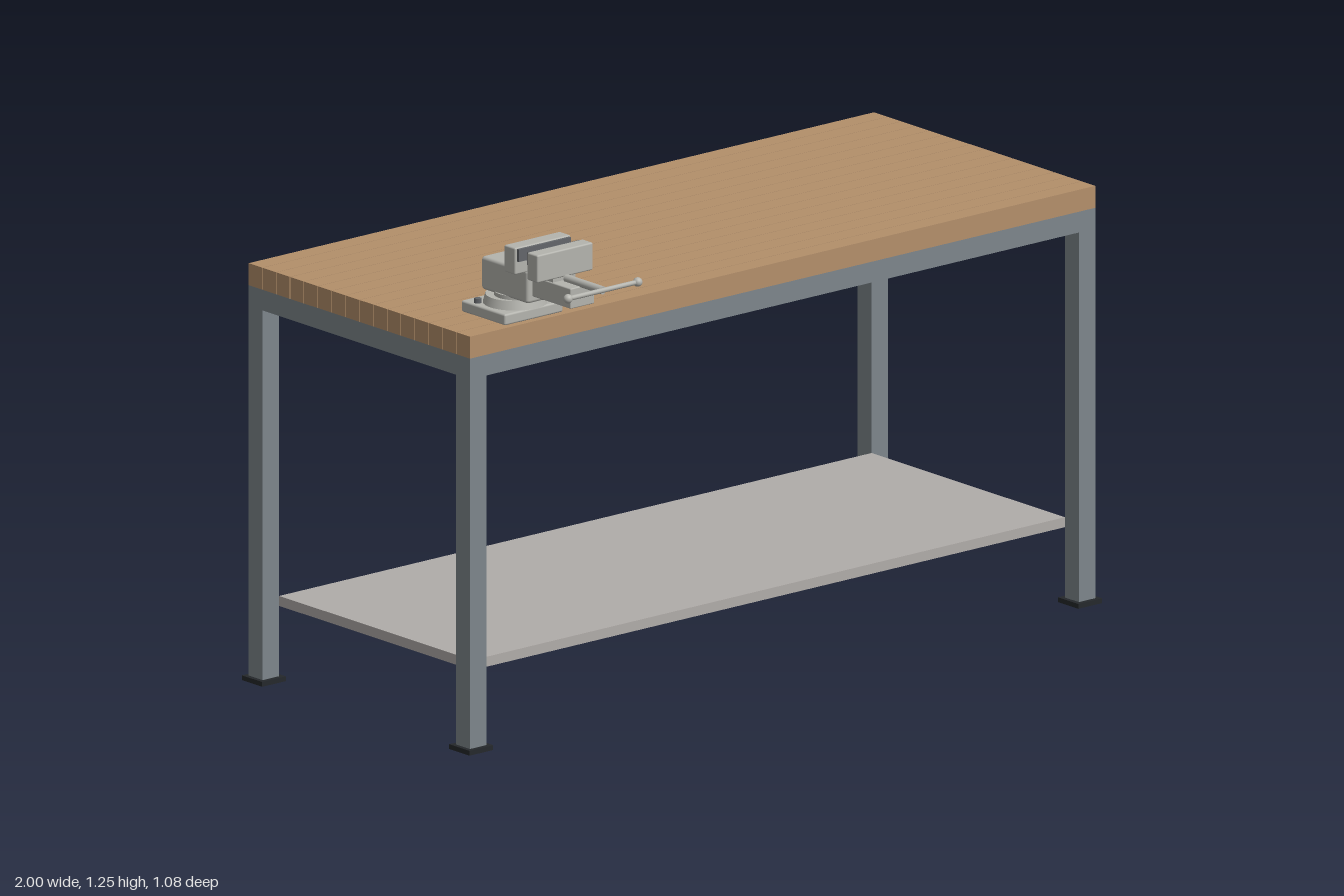
import * as THREE from 'three';
import { RoundedBoxGeometry } from 'three/addons/geometries/RoundedBoxGeometry.js';

const mat = (name, color) => {
  const m = new THREE.MeshStandardMaterial({ color });
  m.name = name;
  return m;
};

export function createModel() {
  const wood = mat('wood', 0xb38f6a);
  const steel = mat('blue grey steel', 0x7d868b);
  const board = mat('shelf grey', 0xb0aca9);
  const iron = mat('vise grey', 0xb4b4ae);
  const darkIron = mat('dark jaw steel', 0x63666a);
  const rubber = mat('black rubber', 0x25282b);

  const model = new THREE.Group();
  model.name = 'workbench';

  const add = (parent, name, geometry, material, x, y, z) => {
    const mesh = new THREE.Mesh(geometry, material);
    mesh.name = name;
    mesh.position.set(x, y, z);
    parent.add(mesh);
    return mesh;
  };
  // Box given by its limits on each axis, with optional rounded edges
  const box = (parent, name, material, [x0, x1], [y0, y1], [z0, z1], r = 0) => {
    const s = [x1 - x0, y1 - y0, z1 - z0];
    const g = r ? new RoundedBoxGeometry(...s, 2, r) : new THREE.BoxGeometry(...s);
    return add(parent, name, g, material, (x0 + x1) / 2, (y0 + y1) / 2, (z0 + z1) / 2);
  };

  const X = 0.987, BACK = -0.53, FRONT = 0.29, T = 0.052;
  const railY = [0.938, 0.99];

  // Table top: sixteen long planks with narrow gaps
  const top = new THREE.Group();
  top.name = 'tableTop';
  model.add(top);
  const count = 16, gap = 0.002, pitch = (FRONT - BACK + gap) / count;
  for (let i = 0; i < count; i++) {
    const z = BACK + i * pitch;
    box(top, 'plank', wood, [-X, X], [0.99, 1.045], [z, z + pitch - gap]);
  }

  // Steel frame
  const frame = new THREE.Group();
  frame.name = 'frame';
  model.add(frame);
  for (const z of [BACK, FRONT - T]) box(frame, 'longRail', steel, [-X + T, X - T], railY, [z, z + T]);
  for (const x of [-X, X - T]) box(frame, 'sideRail', steel, [x, x + T], railY, [BACK + T, FRONT - T]);

  // Foot: square pad with a recessed opening underneath
  const square = (Shape, h) => new Shape([[-h, -h], [h, -h], [h, h], [-h, h]].map(p => new THREE.Vector2(...p)));
  const footShape = square(THREE.Shape, 0.0375);
  footShape.holes.push(square(THREE.Path, 0.019));
  const footGeometry = new THREE.ExtrudeGeometry(footShape, { depth: 0.012, bevelEnabled: false });
  footGeometry.rotateX(-Math.PI / 2);
  for (const x of [-X, X - T]) {
    for (const z of [BACK, FRONT - T]) {
      box(frame, 'leg', steel, [x, x + T], [0.008, 0.99], [z, z + T]);
      add(frame, 'foot', footGeometry, rubber, x + T / 2, 0, z + T / 2);
    }
  }

  // Lower shelf
  box(model, 'shelf', board, [-X + T, X - T], [0.188, 0.213], [BACK + T, FRONT - T]);

  // Bench vise, modelled about its own centre line
  const vise = new THREE.Group();
  vise.name = 'vise';
  vise.position.x = -0.772;
  model.add(vise);
  box(vise, 'basePlate', iron, [-0.092, 0.092], [1.045, 1.073], [0.112, 0.275], 0.005);
  add(vise, 'swivelDisc', new THREE.CylinderGeometry(0.072, 0.078, 0.022, 40), iron, 0, 1.084, 0.205);
  add(vise, 'swivelNeck', new THREE.CylinderGeometry(0.058, 0.058, 0.012, 40), iron, 0, 1.099, 0.215);
  for (const s of [-1, 1]) {
    add(vise, 'baseBolt', new THREE.CylinderGeometry(0.009, 0.009, 0.012, 6), darkIron, s * 0.075, 1.079, 0.155);
  }
  box(vise, 'body', iron, [-0.053, 0.053], [1.1, 1.183], [0.14, 0.313], 0.008);
  box(vise, 'slide', iron, [-0.038, 0.038], [1.117, 1.168], [0.3, 0.455], 0.003);

  // Jaws with gripping plates
  box(vise, 'fixedJaw', iron, [-0.088, 0.088], [1.179, 1.246], [0.267, 0.308], 0.004);
  box(vise, 'movingJaw', iron, [-0.088, 0.088], [1.177, 1.246], [0.352, 0.391], 0.004);
  box(vise, 'jawSupport', iron, [-0.035, 0.035], [1.165, 1.18], [0.356, 0.387]);
  for (const z of [0.307, 0.345]) box(vise, 'jawPlate', darkIron, [-0.082, 0.082], [1.212, 1.243], [z, z + 0.008]);

  // Screw and sliding handle bar
  const screw = add(vise, 'screw', new THREE.CylinderGeometry(0.01, 0.01, 0.135, 20), iron, 0, 1.174, 0.463);
  screw.rotation.x = Math.PI / 2;
  const bar = add(vise, 'handleBar', new THREE.CylinderGeometry(0.006, 0.006, 0.22, 16), iron, 0, 1.174, 0.53);
  bar.rotation.z = Math.PI / 2;
  for (const s of [-1, 1]) {
    add(vise, 'handleKnob', new THREE.SphereGeometry(0.0115, 20, 14), iron, s * 0.11, 1.174, 0.53);
  }
  return model;
}
